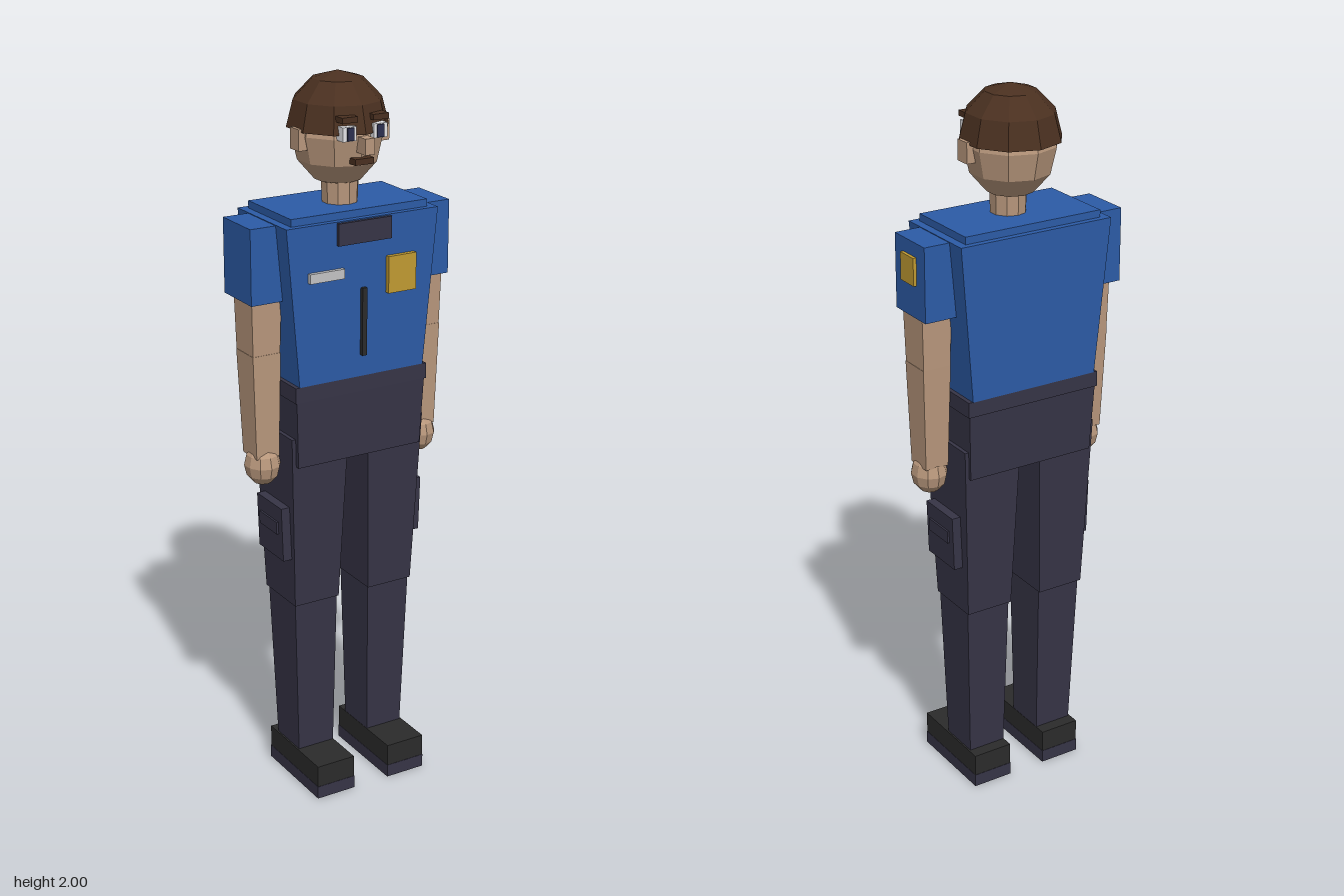
import * as THREE from 'three';

const mat = (name, color) => {
  const m = new THREE.MeshStandardMaterial({ color, flatShading: true });
  m.name = name;
  return m;
};

export function createModel() {
  const shirt = mat('shirtBlue', 0x2c5ba6);
  const navy = mat('trouserNavy', 0x363446);
  const black = mat('shoeBlack', 0x2b2b2b);
  const skin = mat('skin', 0xb8977c);
  const hair = mat('hairBrown', 0x4a3020);
  hair.side = THREE.DoubleSide;
  const gold = mat('badgeGold', 0xc09a32);
  const silver = mat('plateSilver', 0xc2c2c4);
  const white = mat('eyeWhite', 0xe6e6ea);
  const iris = mat('irisBlue', 0x2c3050);

  const model = new THREE.Group();
  model.name = 'officer';
  const body = new THREE.Group();
  body.name = 'body';
  body.position.x = -0.005;
  model.add(body);

  const add = (name, geo, material) => {
    const m = new THREE.Mesh(geo, material);
    m.name = name;
    body.add(m);
    return m;
  };
  // box between two corners
  const box = (name, material, [x0, x1], [y0, y1], [z0, z1]) =>
    add(name, new THREE.BoxGeometry(x1 - x0, y1 - y0, z1 - z0)
      .translate((x0 + x1) / 2, (y0 + y1) / 2, (z0 + z1) / 2), material);
  // tapered box; each end is {y, x:[min,max], z:[min,max]}
  const taper = (name, material, bottom, top) => {
    const g = new THREE.BoxGeometry(1, 1, 1);
    const p = g.attributes.position;
    for (let i = 0; i < p.count; i++) {
      const e = p.getY(i) > 0 ? top : bottom;
      p.setXYZ(i, e.x[p.getX(i) > 0 ? 1 : 0], e.y, e.z[p.getZ(i) > 0 ? 1 : 0]);
    }
    g.computeVertexNormals();
    return add(name, g, material);
  };
  // mirrors an x range for the right side
  const mx = (s, a, b) => (s > 0 ? [a, b] : [-b, -a]);
  // ten-sided faceted ball with a corner at the front
  const ball = (rx, ry, rz, x, y, z, theta = Math.PI) =>
    new THREE.SphereGeometry(1, 10, theta < Math.PI ? 3 : 6, 0, Math.PI * 2, 0, theta)
      .rotateY(Math.PI / 2).scale(rx, ry, rz).translate(x, y, z);

  // torso
  taper('torso', shirt,
    { y: 1.21, x: [-0.19, 0.19], z: [-0.14, 0.105] },
    { y: 1.64, x: [-0.228, 0.228], z: [-0.15, 0.11] });
  box('shoulderYoke', shirt, [-0.205, 0.205], [1.62, 1.66], [-0.133, 0.093]);
  box('belt', navy, [-0.202, 0.202], [1.167, 1.21], [-0.138, 0.105]);
  taper('hips', navy,
    { y: 0.98, x: [-0.19, 0.19], z: [-0.125, 0.095] },
    { y: 1.18, x: [-0.198, 0.198], z: [-0.135, 0.103] });

  // shirt details
  box('collar', navy, [-0.08, 0.08], [1.578, 1.637], [0.105, 0.12]);
  box('placket', black, [-0.007, 0.007], [1.27, 1.455], [0.1, 0.118]);
  box('chestBadge', gold, [0.07, 0.155], [1.43, 1.53], [0.105, 0.122]);
  box('namePlate', silver, [-0.165, -0.062], [1.49, 1.516], [0.105, 0.12]);
  box('sleevePatch', gold, [0.298, 0.31], [1.525, 1.6], [-0.052, 0.013]);

  for (const s of [1, -1]) {
    const side = s > 0 ? 'left' : 'right';
    // arms
    box(side + 'Sleeve', shirt, mx(s, 0.19, 0.301), [1.435, 1.638], [-0.093, 0.054]);
    taper(side + 'UpperArm', skin,
      { y: 1.29, x: mx(s, 0.208, 0.288), z: [-0.057, 0.034] },
      { y: 1.46, x: mx(s, 0.204, 0.292), z: [-0.06, 0.038] });
    taper(side + 'Forearm', skin,
      { y: 1.0, x: mx(s, 0.212, 0.28), z: [-0.046, 0.03] },
      { y: 1.29, x: mx(s, 0.207, 0.289), z: [-0.057, 0.035] });
    add(side + 'Hand', ball(0.049, 0.058, 0.053, s * 0.246, 0.973, -0.003), skin);

    // legs
    taper(side + 'Thigh', navy,
      { y: 0.56, x: mx(s, 0.048, 0.186), z: [-0.1, 0.063] },
      { y: 1.06, x: mx(s, 0.03, 0.204), z: [-0.12, 0.086] });
    taper(side + 'Shin', navy,
      { y: 0.09, x: mx(s, 0.057, 0.168), z: [-0.075, 0.045] },
      { y: 0.58, x: mx(s, 0.05, 0.183), z: [-0.092, 0.057] });
    taper(side + 'CargoPocket', navy,
      { y: 0.7, x: mx(s, 0.17, 0.217), z: [-0.08, 0.055] },
      { y: 0.855, x: mx(s, 0.17, 0.222), z: [-0.08, 0.055] });
    box(side + 'PocketFlap', navy, mx(s, 0.19, 0.226), [0.775, 0.81], [-0.06, 0.035]);

    // shoes
    box(side + 'Shoe', black, mx(s, 0.056, 0.173), [0.035, 0.1], [-0.11, 0.16]);
    box(side + 'Sole', navy, mx(s, 0.055, 0.174), [0, 0.037], [-0.111, 0.161]);

    // ears, eyes and brows
    box(side + 'Ear', skin, mx(s, 0.105, 0.136), [1.81, 1.866], [-0.03, 0.014]);
    box(side + 'Eye', white, mx(s, 0.026, 0.066), [1.845, 1.882], [0.07, 0.116]);
    box(side + 'Iris', iris, mx(s, 0.034, 0.054), [1.847, 1.88], [0.11, 0.12]);
    box(side + 'Brow', hair, mx(s, 0.023, 0.069), [1.892, 1.907], [0.07, 0.118]);
  }

  // neck and head
  add('neck', new THREE.CylinderGeometry(0.052, 0.047, 0.13, 10)
    .translate(0, 1.7, -0.01), skin);
  add('head', ball(0.124, 0.145, 0.129, 0, 1.845, -0.02), skin);
  add('hair', ball(0.135, 0.142, 0.141, 0, 1.858, -0.021, Math.PI / 2), hair);
  box('nose', skin, [-0.014, 0.014], [1.81, 1.852], [0.08, 0.14]);
  box('mouth', hair, [-0.028, 0.028], [1.78, 1.796], [0.07, 0.114]);

  return model;
}
